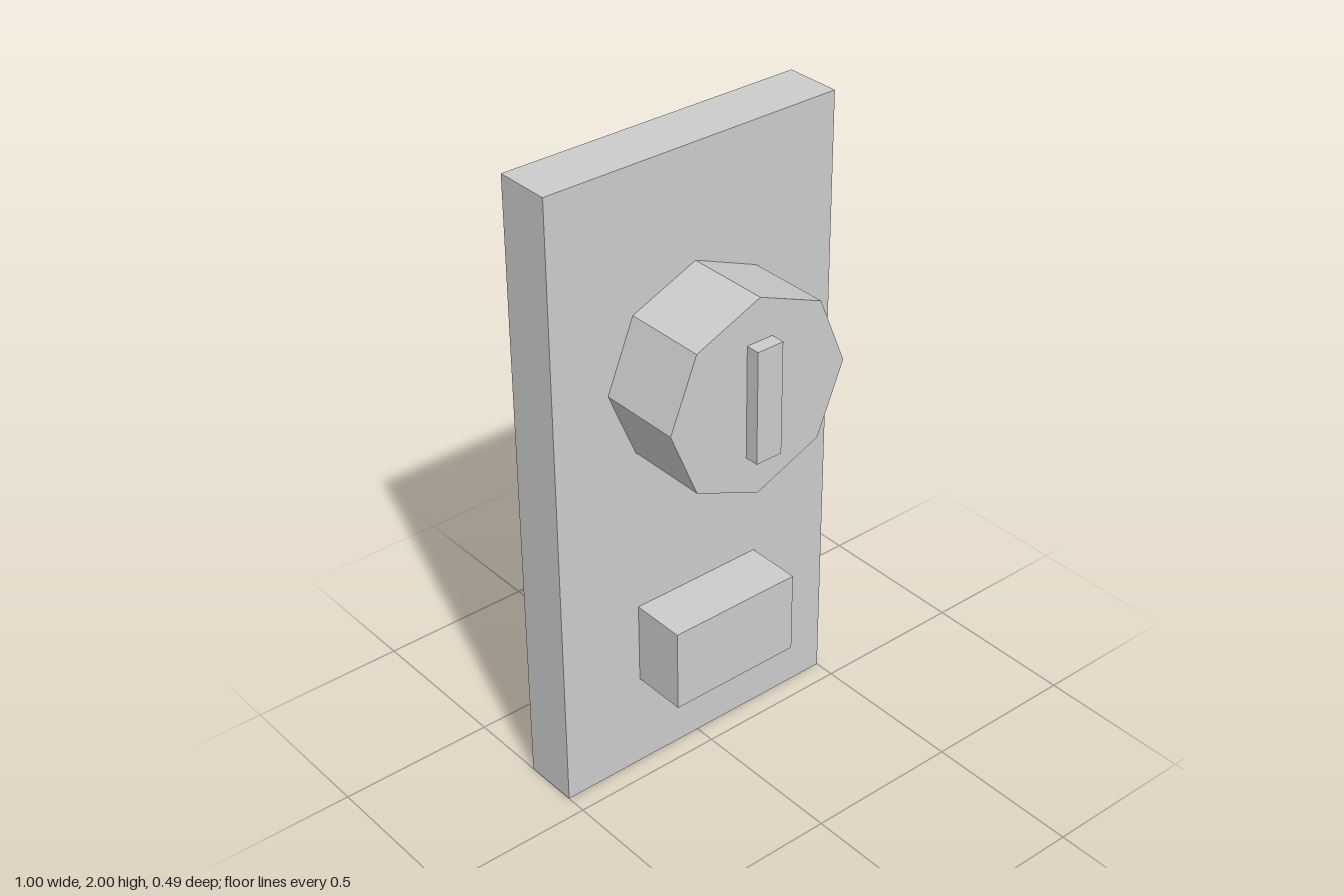
import * as THREE from 'three';

export function createModel() {
  const group = new THREE.Group();
  const grey = new THREE.MeshStandardMaterial({ color: 0xcccccc, flatShading: true });
  grey.name = 'light grey';

  const add = (name, geometry, y, z) => {
    const mesh = new THREE.Mesh(geometry, grey);
    mesh.name = name;
    mesh.position.set(0, y, z);
    group.add(mesh);
  };

  const plateFront = -0.067;
  const dialDepth = 0.267;
  const blockDepth = 0.178;

  // Upright back plate
  add('backPlate', new THREE.BoxGeometry(1, 2, 0.178), 1, plateFront - 0.089);

  // Eight-sided dial with a corner pointing up
  const dial = new THREE.CylinderGeometry(0.311, 0.311, dialDepth, 8).rotateX(Math.PI / 2);
  add('dial', dial, 1.335, plateFront + dialDepth / 2);

  // Raised bar on the dial face
  add('dialPointer', new THREE.BoxGeometry(0.089, 0.356, 0.044), 1.335, plateFront + dialDepth + 0.022);

  // Lower block
  add('lowerBlock', new THREE.BoxGeometry(0.444, 0.267, blockDepth), 0.446, plateFront + blockDepth / 2);

  return group;
}
